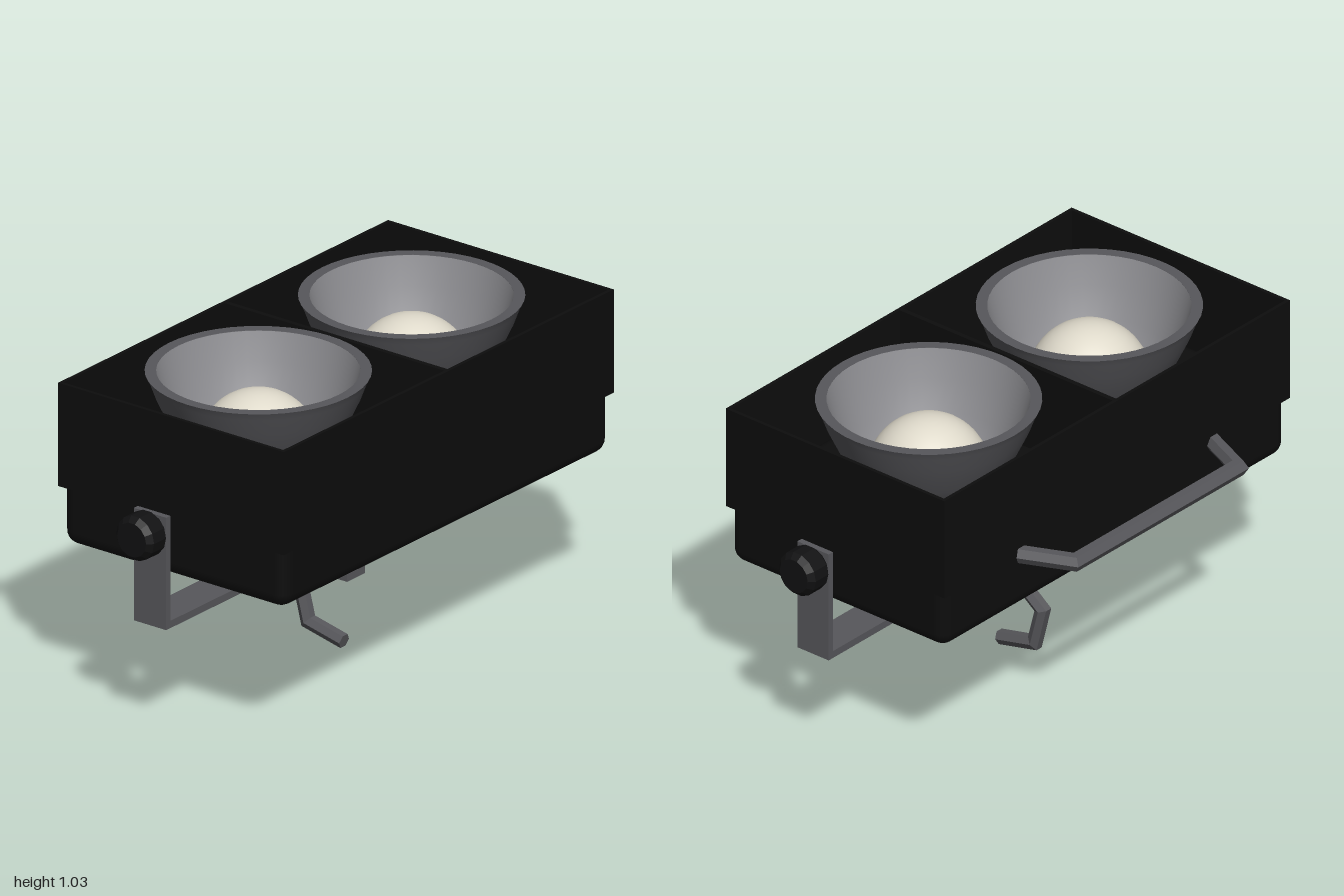
import * as THREE from 'three';
import { RoundedBoxGeometry } from 'three/addons/geometries/RoundedBoxGeometry.js';

const mat = (name, color, extra = {}) => {
  const m = new THREE.MeshStandardMaterial({ color, ...extra });
  m.name = name;
  return m;
};

// Sweeps a six-sided rod along a planar path with mitred bends; n is the plane normal.
function rod(path, n, r, phase) {
  const sides = 6, pos = [], idx = [];
  path.forEach((p, i) => {
    const a = path[Math.max(i - 1, 0)], b = path[Math.min(i + 1, path.length - 1)];
    const tIn = (i ? p.clone().sub(a) : b.clone().sub(p)).normalize();
    const tOut = (i < path.length - 1 ? b.clone().sub(p) : p.clone().sub(a)).normalize();
    const t = tIn.clone().add(tOut).normalize();
    const side = n.clone().cross(t).multiplyScalar(1 / t.dot(tIn));
    for (let k = 0; k < sides; k++) {
      const ang = phase + (k / sides) * Math.PI * 2;
      const v = p.clone().addScaledVector(side, Math.cos(ang) * r).addScaledVector(n, Math.sin(ang) * r);
      pos.push(v.x, v.y, v.z);
    }
  });
  const last = (path.length - 1) * sides;
  for (let i = 0; i < path.length - 1; i++) {
    for (let k = 0; k < sides; k++) {
      const a = i * sides + k, b = i * sides + ((k + 1) % sides);
      idx.push(a, a + sides, b, b, a + sides, b + sides);
    }
  }
  for (let k = 1; k < sides - 1; k++) idx.push(0, k, k + 1, last, last + k + 1, last + k);
  // Wind every face so that it points outward
  for (let i = 0; i < idx.length; i += 3) [idx[i + 1], idx[i + 2]] = [idx[i + 2], idx[i + 1]];
  const g = new THREE.BufferGeometry();
  g.setAttribute('position', new THREE.Float32BufferAttribute(pos, 3));
  g.setIndex(idx);
  const flat = g.toNonIndexed();
  flat.computeVertexNormals();
  return flat;
}

export function createModel() {
  const model = new THREE.Group();
  const black = mat('housing black', 0x0d0d0d);
  const knobBlack = mat('knob black', 0x111112, { flatShading: true });
  const grey = mat('metal grey', 0x57575b, { side: THREE.DoubleSide });
  const silver = mat('reflector silver', 0x8c8c90, { side: THREE.DoubleSide });
  const cream = mat('bulb cream', 0xe0dbcc);
  const add = (name, geo, m, x = 0, y = 0, z = 0, parent = model) => {
    const mesh = new THREE.Mesh(geo, m);
    mesh.name = name;
    mesh.position.set(x, y, z);
    parent.add(mesh);
    return mesh;
  };
  const zc = 0.091;

  // Open-topped upper housing with two compartments
  const w = 0.807, d = 0.436, wall = 0.012;
  const rect = (P, x0, x1, y0, y1) => {
    const p = new P();
    p.moveTo(x0, y0); p.lineTo(x1, y0); p.lineTo(x1, y1); p.lineTo(x0, y1); p.closePath();
    return p;
  };
  const frame = rect(THREE.Shape, -w, w, -d, d);
  frame.holes.push(rect(THREE.Path, -w + wall, -0.008, -d + wall, d - wall));
  frame.holes.push(rect(THREE.Path, 0.008, w - wall, -d + wall, d - wall));
  const frameGeo = new THREE.ExtrudeGeometry(frame, { depth: 0.34, bevelEnabled: false });
  frameGeo.rotateX(-Math.PI / 2);
  add('upperHousing', frameGeo, black, 0, 0.68, zc);

  // Rounded lower housing, also the compartment floor
  add('lowerHousing', new RoundedBoxGeometry(1.6, 0.24, 0.86, 3, 0.045), black, 0, 0.61, zc);

  // Two lamps: reflector, rim with outer shell, bulb
  const profile = pts => pts.map(([x, y]) => new THREE.Vector2(x, y));
  const bowl = profile([[0.12, 0.735], [0.2, 0.77], [0.245, 0.85], [0.283, 0.94], [0.31, 1.03]]);
  const shell = profile([[0.13, 0.725], [0.21, 0.76], [0.265, 0.85], [0.312, 0.95], [0.332, 1.005], [0.345, 1.031]]);
  for (const s of [-1, 1]) {
    const lamp = new THREE.Group();
    lamp.name = s > 0 ? 'leftLamp' : 'rightLamp';
    lamp.position.set(s * 0.375, 0, zc - 0.004);
    model.add(lamp);
    add('reflector', new THREE.LatheGeometry(bowl, 48), silver, 0, 0, 0, lamp);
    add('outerShell', new THREE.LatheGeometry(shell, 48), grey, 0, 0, 0, lamp);
    const ring = new THREE.RingGeometry(0.31, 0.345, 48);
    ring.rotateX(-Math.PI / 2);
    add('rim', ring, grey, 0, 1.031, 0, lamp);
    add('bulb', new THREE.SphereGeometry(0.19, 32, 20), cream, 0, 0.772, 0, lamp);
  }

  // U-shaped bracket and clamping knobs
  add('bracketBar', new THREE.BoxGeometry(1.82, 0.024, 0.125), grey, 0, 0.382, zc);
  const knob = new THREE.LatheGeometry(
    profile([[0, 0], [0.06, 0], [0.073, 0.014], [0.073, 0.072], [0.056, 0.09], [0, 0.09]]), 14);
  for (const s of [-1, 1]) {
    add('bracketArm', new THREE.BoxGeometry(0.02, 0.37, 0.125), grey, s * 0.9, 0.555, zc);
    add('knob', knob, knobBlack, s * 0.91, 0.68, zc).rotation.z = -s * Math.PI / 2;
  }

  // Mounting block and hook beneath the bracket
  add('mountBlock', new THREE.BoxGeometry(0.088, 0.125, 0.155), grey, 0, 0.308, zc);
  const V = (x, y, z) => new THREE.Vector3(x, y, z);
  add('hook', rod([V(0, 0.24, 0.03), V(0, 0.18, -0.048), V(0, 0.055, -0.016), V(0, 0.024, 0.122)],
    V(1, 0, 0), 0.024, Math.PI / 6), grey);

  // Carry handle on the back
  add('handle', rod([V(-0.452, 0.68, -0.34), V(-0.38, 0.68, -0.502), V(0.38, 0.68, -0.502), V(0.452, 0.68, -0.34)],
    V(0, 1, 0), 0.028, 0), grey);

  return model;
}
